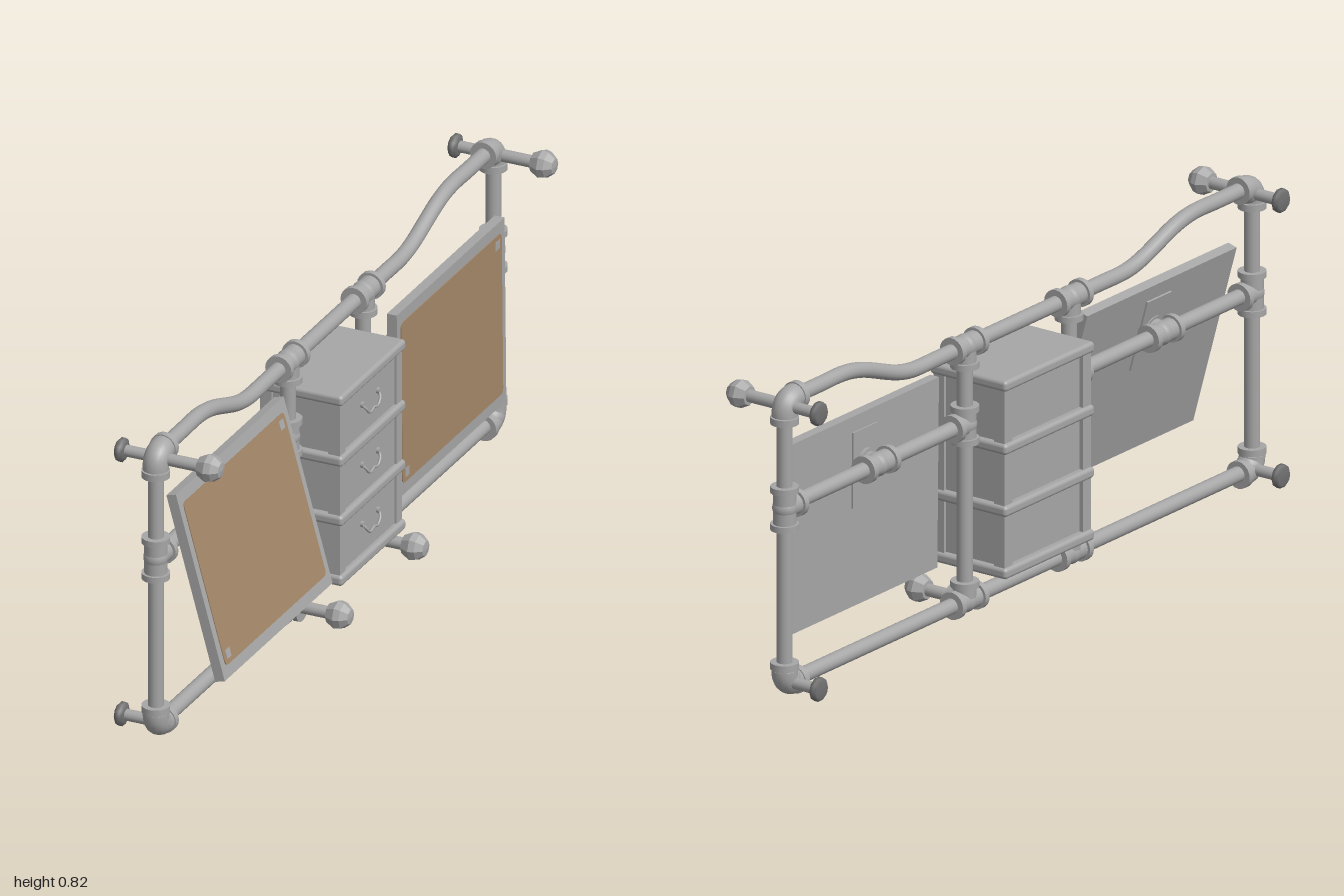
import * as THREE from 'three';
import { RoundedBoxGeometry } from 'three/addons/geometries/RoundedBoxGeometry.js';

const V = (x, y, z) => new THREE.Vector3(x, y, z);
const PX = -0.032;   // plane of the pipe frame
const R = 0.02;      // pipe radius

export function createModel() {
  const mat = (name, color) => {
    const m = new THREE.MeshStandardMaterial({ color });
    m.name = name;
    return m;
  };
  const steel = mat('steel grey', 0xa6a6a6);
  const dark = mat('dark grey', 0x707070);
  const cork = mat('cork brown', 0xa38769);
  const faceted = steel.clone();
  faceted.flatShading = true;

  const root = new THREE.Group();
  root.name = 'pipeFrameDisplay';

  const add = (parent, name, geo, material, pos) => {
    const m = new THREE.Mesh(geo, material);
    m.name = name;
    if (pos) m.position.copy(pos);
    parent.add(m);
    return m;
  };
  const box = (parent, name, w, h, d, pos, material = steel) =>
    add(parent, name, new THREE.BoxGeometry(w, h, d), material, pos);
  // Straight round bar between two points
  const bar = (parent, name, a, b, r = R, material = steel, sides = 20) => {
    const d = b.clone().sub(a);
    const m = add(parent, name, new THREE.CylinderGeometry(r, r, d.length(), sides), material,
      a.clone().add(b).multiplyScalar(0.5));
    m.quaternion.setFromUnitVectors(V(0, 1, 0), d.normalize());
    return m;
  };
  // Solid of revolution along a direction, points are [radius, distance]
  const turned = (parent, name, pts, origin, dir, sides, material) => {
    const geo = new THREE.LatheGeometry(pts.map(p => new THREE.Vector2(...p)), sides);
    const m = add(parent, name, geo, material, origin);
    m.quaternion.setFromUnitVectors(V(0, 1, 0), dir);
    return m;
  };
  // Fitting arm that ends in a raised collar
  const arm = (parent, from, dir, len) => {
    const at = t => from.clone().addScaledVector(dir, t);
    bar(parent, 'fittingArm', from, at(len), 0.029);
    bar(parent, 'fittingCollar', at(len - 0.016), at(len), 0.036);
  };
  const fitting = (name, center, arms) => {
    const g = new THREE.Group();
    g.name = name;
    root.add(g);
    add(g, 'fittingCore', new THREE.SphereGeometry(0.031, 20, 14), steel, center);
    arms.forEach(([dir, len]) => arm(g, center, dir, len));
    return g;
  };
  const up = V(0, 1, 0), down = V(0, -1, 0), front = V(0, 0, 1), back = V(0, 0, -1);

  // Faceted ball on a rod, pointing to +x
  const ballKnob = (y, z) => {
    const g = new THREE.Group();
    g.name = 'ballKnob';
    root.add(g);
    bar(g, 'knobRod', V(PX, y, z), V(0.09, y, z), 0.016);
    turned(g, 'knobBall', [[0, 0.079], [0.025, 0.081], [0.038, 0.106], [0.034, 0.122], [0.02, 0.14], [0, 0.143]],
      V(0, y, z), V(1, 0, 0), 8, faceted);
  };
  // Flat round foot on a rod, pointing to -x
  const discKnob = (y, z) => {
    const g = new THREE.Group();
    g.name = 'discKnob';
    root.add(g);
    bar(g, 'discRod', V(PX, y, z), V(-0.125, y, z), 0.015);
    turned(g, 'disc', [[0, 0.119], [0.02, 0.12], [0.031, 0.126], [0.031, 0.137], [0.024, 0.143], [0, 0.143]],
      V(0, y, z), V(-1, 0, 0), 10, dark);
  };

  // Rails shared by both halves
  bar(root, 'bottomRail', V(PX, 0.04, -0.925), V(PX, 0.04, 0.925));
  bar(root, 'topMiddleRail', V(PX, 0.71, -0.22), V(PX, 0.71, 0.21));

  for (const s of [1, -1]) {
    const zo = 0.964 * s, zi = 0.215 * s - 0.006;
    const out = s > 0 ? front : back, inn = s > 0 ? back : front;

    // Posts and side rails
    bar(root, 'outerPost', V(PX, 0.08, zo), V(PX, 0.75, zo));
    bar(root, 'innerPost', V(PX, 0.04, zi), V(PX, 0.71, zi));
    bar(root, 'crossRail', V(PX, 0.505, zi), V(PX, 0.505, zo));
    const rail = new THREE.CatmullRomCurve3([[0.21, 0.71], [0.34, 0.71], [0.44, 0.711], [0.5, 0.722],
      [0.65, 0.773], [0.72, 0.785], [0.82, 0.785], [0.925, 0.785]].map(([z, y]) => V(PX, y, z * s)));
    add(root, 'curvedTopRail', new THREE.TubeGeometry(rail, 48, R, 16), steel);

    // Corner elbows
    for (const [y, dir] of [[0.785, -1], [0.037, 1]]) {
      const g = new THREE.Group();
      g.name = 'cornerElbow';
      root.add(g);
      const bend = new THREE.QuadraticBezierCurve3(V(PX, y + dir * 0.04, zo), V(PX, y, zo), V(PX, y, zo - 0.04 * s));
      add(g, 'elbowBend', new THREE.TubeGeometry(bend, 12, 0.033, 18), steel);
      add(g, 'elbowCore', new THREE.SphereGeometry(0.034, 18, 12), steel, V(PX, y + dir * 0.012, zo - 0.012 * s));
      bar(g, 'elbowCollar', V(PX, y + dir * 0.042, zo), V(PX, y + dir * 0.06, zo), 0.036);
      bar(g, 'elbowCollar', V(PX, y, zo - 0.04 * s), V(PX, y, zo - 0.058 * s), 0.036);
    }

    // Tee fittings
    fitting('outerTee', V(PX, 0.503, zo), [[up, 0.057], [down, 0.057], [inn, 0.055]]);
    fitting('innerTee', V(PX, 0.505, zi), [[up, 0.05], [down, 0.05], [out, 0.055]]);
    fitting('topTee', V(PX, 0.71, zi), [[front, 0.055], [back, 0.055], [down, 0.056]]);
    fitting('bottomTee', V(PX, 0.04, zi), [[front, 0.055], [back, 0.055], [up, 0.053], [V(1, 0, 0), 0.04]]);

    // Knobs
    const zk = 0.953 * s - 0.004;
    ballKnob(0.77, zk);
    discKnob(0.77, zk);
    discKnob(0.044, zk);
    ballKnob(0.042, zi);
  }

  // Tilting board: grey frame, cork face, mounting plate on the back
  const board = (name, x, y, z, tilt) => {
    const g = new THREE.Group();
    g.name = name;
    g.position.set(x, y, z);
    g.rotation.z = tilt;
    root.add(g);
    const W = 0.616, H = 0.503, T = 0.027;
    box(g, 'boardBack', T - 0.006, H - 0.02, W - 0.02, V(-0.003, 0, 0));
    for (const k of [1, -1]) {
      box(g, 'frameBar', T, 0.034, W, V(0, k * (H / 2 - 0.017), 0));
      box(g, 'frameBar', T, H - 0.068, 0.028, V(0, 0, k * (W / 2 - 0.014)));
    }
    // Cork sheet with rounded corners
    const w = 0.287, h = 0.22, r = 0.015;
    const sh = new THREE.Shape();
    sh.moveTo(-w + r, -h).lineTo(w - r, -h).quadraticCurveTo(w, -h, w, -h + r)
      .lineTo(w, h - r).quadraticCurveTo(w, h, w - r, h)
      .lineTo(-w + r, h).quadraticCurveTo(-w, h, -w, h - r)
      .lineTo(-w, -h + r).quadraticCurveTo(-w, -h, -w + r, -h);
    const sheet = new THREE.ExtrudeGeometry(sh, { depth: 0.005, bevelEnabled: false });
    sheet.rotateY(Math.PI / 2);
    add(g, 'corkSheet', sheet, cork, V(T / 2 - 0.003, 0, 0));
    for (const k of [1, -1])
      box(g, 'cornerClip', 0.002, 0.024, 0.024, V(T / 2 + 0.002, k * 0.195, -k * 0.262));
    box(g, 'mountPlate', 0.006, 0.2, 0.1, V(-T / 2 - 0.002, 0.11, 0));
  };
  board('frontBoard', 0.044, 0.402, 0.587, 0.27);
  board('rearBoard', 0.0225, 0.384, -0.584, 0.01);

  // Swivel sleeves that hold the boards
  for (const z of [0.587, -0.584])
    fitting('swivelSleeve', V(PX, 0.505, z), [[front, 0.055], [back, 0.055], [V(1, z > 0 ? 0.26 : 0, 0).normalize(), 0.04]]);

  // Cabinet with three drawers
  const cab = new THREE.Group();
  cab.name = 'cabinet';
  cab.position.set(-0.0155, 0, -0.003);
  root.add(cab);
  box(cab, 'cabinetCore', 0.196, 0.5, 0.338, V(0, 0.365, 0));
  for (const y of [0.6115, 0.445, 0.2815, 0.1175])
    add(cab, 'shelfBoard', new RoundedBoxGeometry(0.237, 0.029, 0.37, 4, 0.01), steel, V(0, y, 0));
  for (const sx of [1, -1]) for (const sz of [1, -1])
    box(cab, 'cornerPost', 0.032, 0.5, 0.032, V(sx * 0.0935, 0.365, sz * 0.162));

  for (const y of [0.528, 0.363, 0.2]) {
    const d = new THREE.Group();
    d.name = 'drawer';
    d.position.set(0, y, 0);
    cab.add(d);
    box(d, 'drawerFront', 0.01, 0.132, 0.288, V(0.1, 0, 0));
    // Drooping bail handle with two round mounts
    const bail = new THREE.CatmullRomCurve3([V(0.108, 0.015, -0.045), V(0.116, 0.002, -0.04), V(0.118, -0.014, -0.022),
      V(0.118, -0.009, 0), V(0.118, -0.014, 0.022), V(0.116, 0.002, 0.04), V(0.108, 0.015, 0.045)]);
    add(d, 'drawerHandle', new THREE.TubeGeometry(bail, 24, 0.0035, 8), steel);
    for (const k of [1, -1])
      bar(d, 'handleMount', V(0.103, 0.015, k * 0.045), V(0.113, 0.015, k * 0.045), 0.008, steel, 12);
  }
  return root;
}
